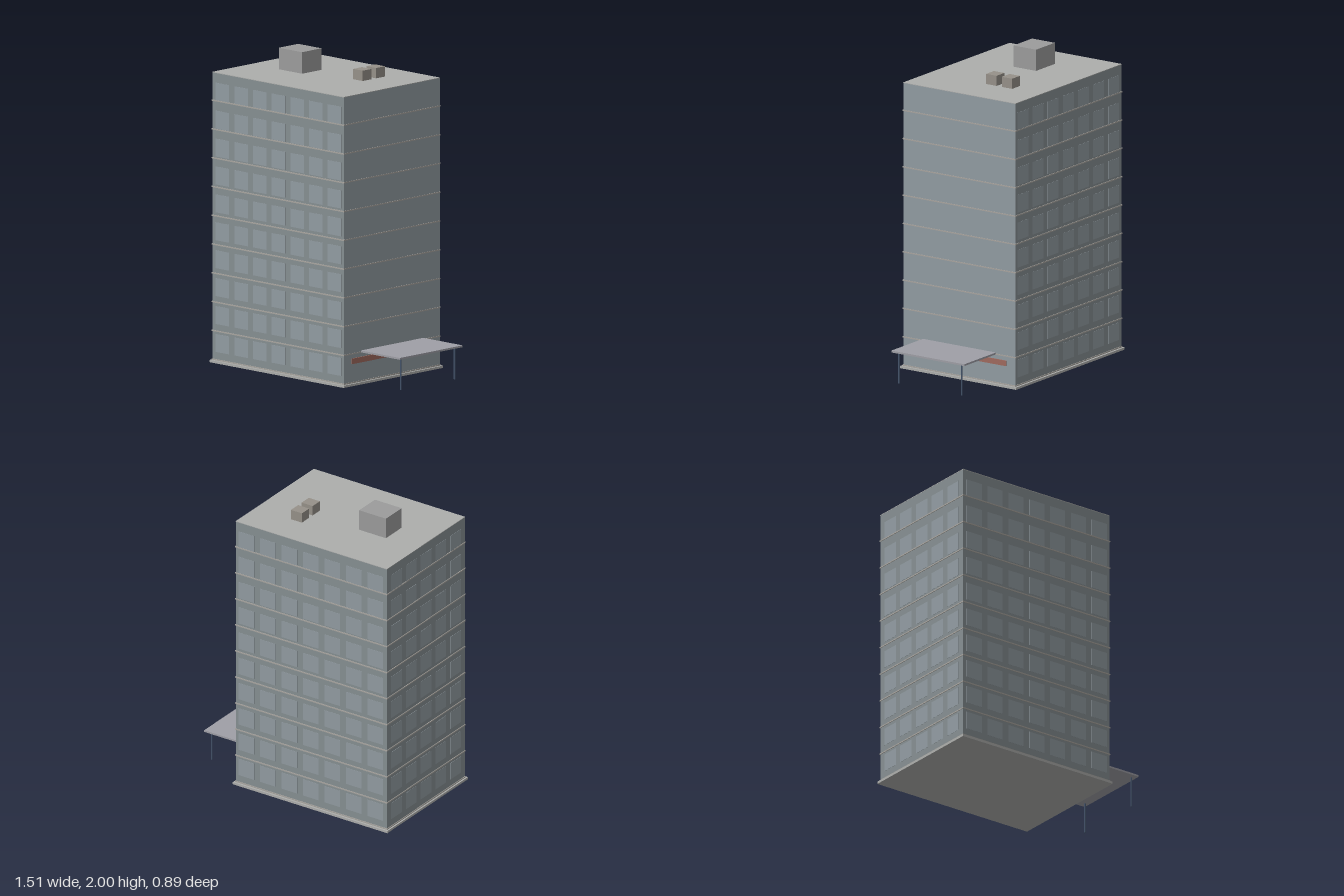
import * as THREE from 'three';

const material = (color) => new THREE.MeshStandardMaterial({ color });

export function createModel() {
  const model = new THREE.Group();
  const wall = material(0x868f92), glass = material(0x929ca2), trim = material(0xa8a5a0);
  const concrete = material(0xadaeac), metal = material(0x969189), lift = material(0x9c9c9c);
  const canopyGrey = material(0x9f9fa6), steel = material(0x46566e), red = material(0xa06a5e);

  // Box given by its low and high corners
  function box(name, mat, [x0, y0, z0], [x1, y1, z1], parent = model) {
    const mesh = new THREE.Mesh(new THREE.BoxGeometry(x1 - x0, y1 - y0, z1 - z0), mat);
    mesh.position.set((x0 + x1) / 2, (y0 + y1) / 2, (z0 + z1) / 2);
    mesh.name = name;
    parent.add(mesh);
    return mesh;
  }

  // Tower, plinth and roof
  const left = -0.742, right = 0.41, depth = 0.432, top = 1.862;
  box('tower', wall, [left, 0.005, -depth], [right, top - 0.004, depth]);
  box('plinth', concrete, [-0.755, 0, -0.447], [0.424, 0.015, 0.447]);
  box('roof', concrete, [left - 0.001, top - 0.004, -depth - 0.001], [right + 0.001, top, depth + 0.001]);
  box('entranceWall', glass, [right, 0.015, -depth], [right + 0.001, top - 0.004, depth]);

  // Thin ledges between the storeys
  const ledges = new THREE.Group();
  ledges.name = 'floorLedges';
  model.add(ledges);
  const o = 0.004;
  for (let i = 0; i < 10; i++) {
    const y = 0.02 + i * 0.1845;
    box('ledge', trim, [left - o, y - 0.004, -depth - o], [right + o, y + 0.004, depth + o], ledges);
  }

  // Windows on the front, the back and the side away from the entrance
  const windows = new THREE.Group();
  windows.name = 'windows';
  model.add(windows);
  const w = 0.059, t = 0.0015;
  for (let floor = 0; floor < 10; floor++) {
    const y0 = 0.07 + floor * 0.179, y1 = y0 + 0.115;
    for (let i = 0; i < 7; i++) {
      const x = -0.655 + i * 0.164;
      for (const z of [-depth, depth]) box('window', glass, [x - w, y0, z - t], [x + w, y1, z + t], windows);
    }
    for (let i = -2; i <= 2; i++) {
      const z = i * 0.164;
      box('sideWindow', glass, [left - t, y0, z - w], [left + t, y1, z + w], windows);
    }
  }

  // Rooftop housing and ventilation units
  box('roofHousing', lift, [-0.499, top, -0.09], [-0.295, 2, 0.085]);
  for (const z of [-0.215, -0.095]) box('ventUnit', metal, [0.056, top, z], [0.14, 1.928, z + 0.08]);

  // Entrance canopy, its posts and the red band behind it
  box('canopy', canopyGrey, [right, 0.203, -0.283], [0.755, 0.215, 0.28]);
  for (const z of [-0.242, 0.242]) {
    const post = new THREE.Mesh(new THREE.CylinderGeometry(0.006, 0.006, 0.203, 12), steel);
    post.position.set(0.725, 0.1015, z);
    post.name = 'canopyPost';
    model.add(post);
  }
  box('entranceBand', red, [right - 0.005, 0.14, -0.365], [0.418, 0.175, 0.365]);

  return model;
}
